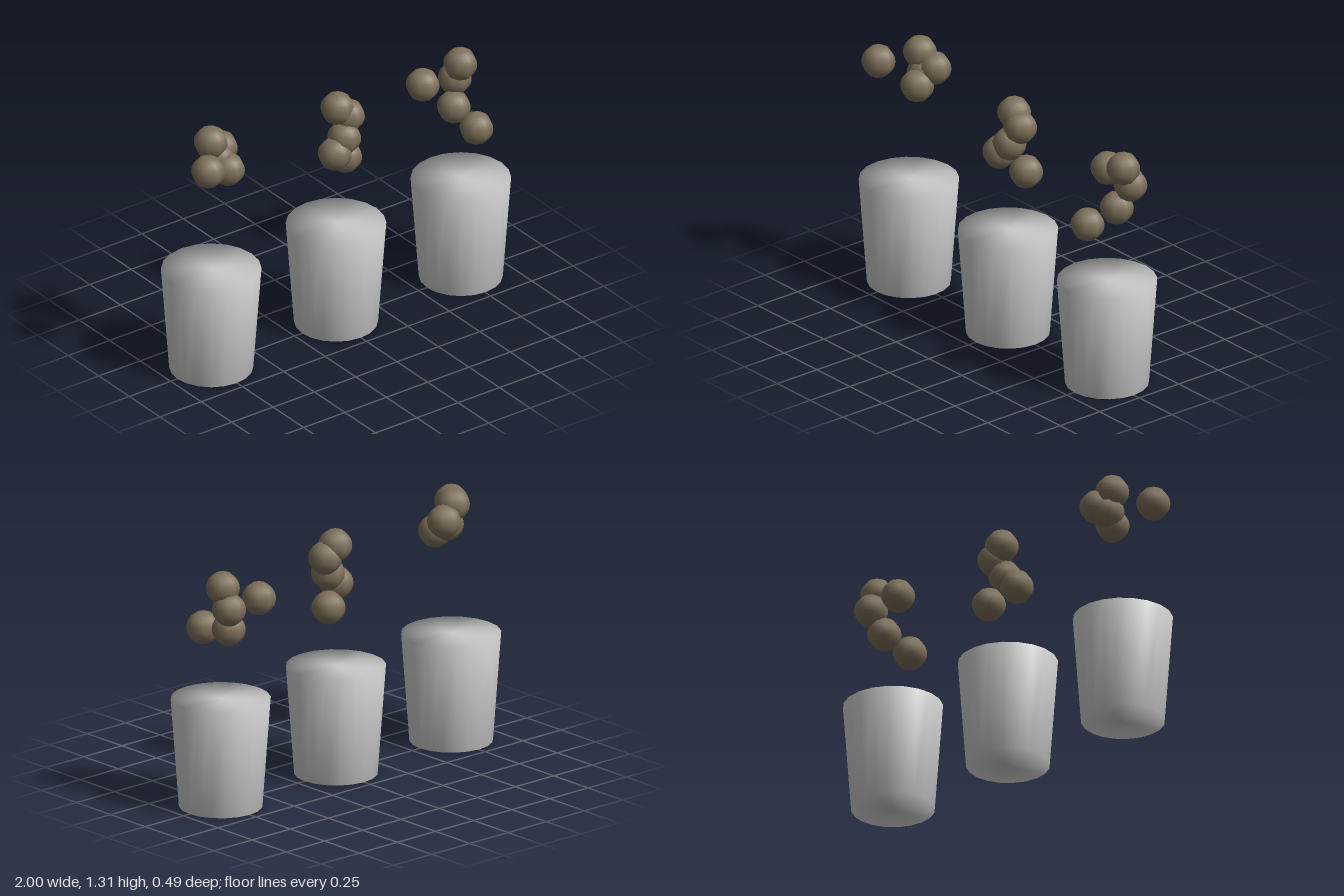
import * as THREE from 'three';
import { mergeVertices } from 'three/addons/utils/BufferGeometryUtils.js';

const CUP = { topRadius: 0.245, baseRadius: 0.205, height: 0.55, sides: 20 };
const BALL_RADIUS = 0.083;

// Each cup has a loose cluster of balls tumbling into it: [x, y, z]
const SETS = [
  {
    name: 'right', x: -0.755,
    balls: [[-0.855, 1.175, 0.11], [-0.725, 1.225, -0.045], [-0.645, 1.16, -0.07],
      [-0.69, 1.13, -0.04], [-0.668, 1.085, 0.02]],
  },
  {
    name: 'middle', x: 0,
    balls: [[0.023, 1.175, -0.02], [0.08, 1.12, -0.01], [0.035, 1.025, 0.02],
      [-0.03, 0.96, 0.03], [0.087, 0.875, -0.042]],
  },
  {
    name: 'left', x: 0.755,
    balls: [[0.613, 1.06, -0.12], [0.8, 1.14, -0.065], [0.8, 1.04, -0.11],
      [0.757, 0.917, -0.06], [0.757, 0.882, 0.125]],
  },
];

// Closed tapered tumbler whose caps and wall share smooth normals
function cupGeometry() {
  const g = new THREE.CylinderGeometry(CUP.topRadius, CUP.baseRadius, CUP.height, CUP.sides);
  g.translate(0, CUP.height / 2, 0);
  g.deleteAttribute('normal');
  g.deleteAttribute('uv');
  const smooth = mergeVertices(g);
  smooth.computeVertexNormals();
  return smooth;
}

export function createModel() {
  const model = new THREE.Group();
  model.name = 'cupsAndBalls';

  const cupMaterial = new THREE.MeshStandardMaterial({ color: 0xcccccc });
  const ballMaterial = new THREE.MeshStandardMaterial({ color: 0x7d705a });
  const cupShape = cupGeometry();
  // Eight sides around, finer from pole to pole
  const ballShape = new THREE.SphereGeometry(BALL_RADIUS, 8, 16);

  for (const set of SETS) {
    const group = new THREE.Group();
    group.name = `${set.name}Set`;

    const cup = new THREE.Mesh(cupShape, cupMaterial);
    cup.name = `${set.name}Cup`;
    cup.position.x = set.x;
    group.add(cup);

    set.balls.forEach((position, i) => {
      const ball = new THREE.Mesh(ballShape, ballMaterial);
      ball.name = `${set.name}Ball${i + 1}`;
      ball.position.set(...position);
      group.add(ball);
    });
    model.add(group);
  }
  return model;
}
